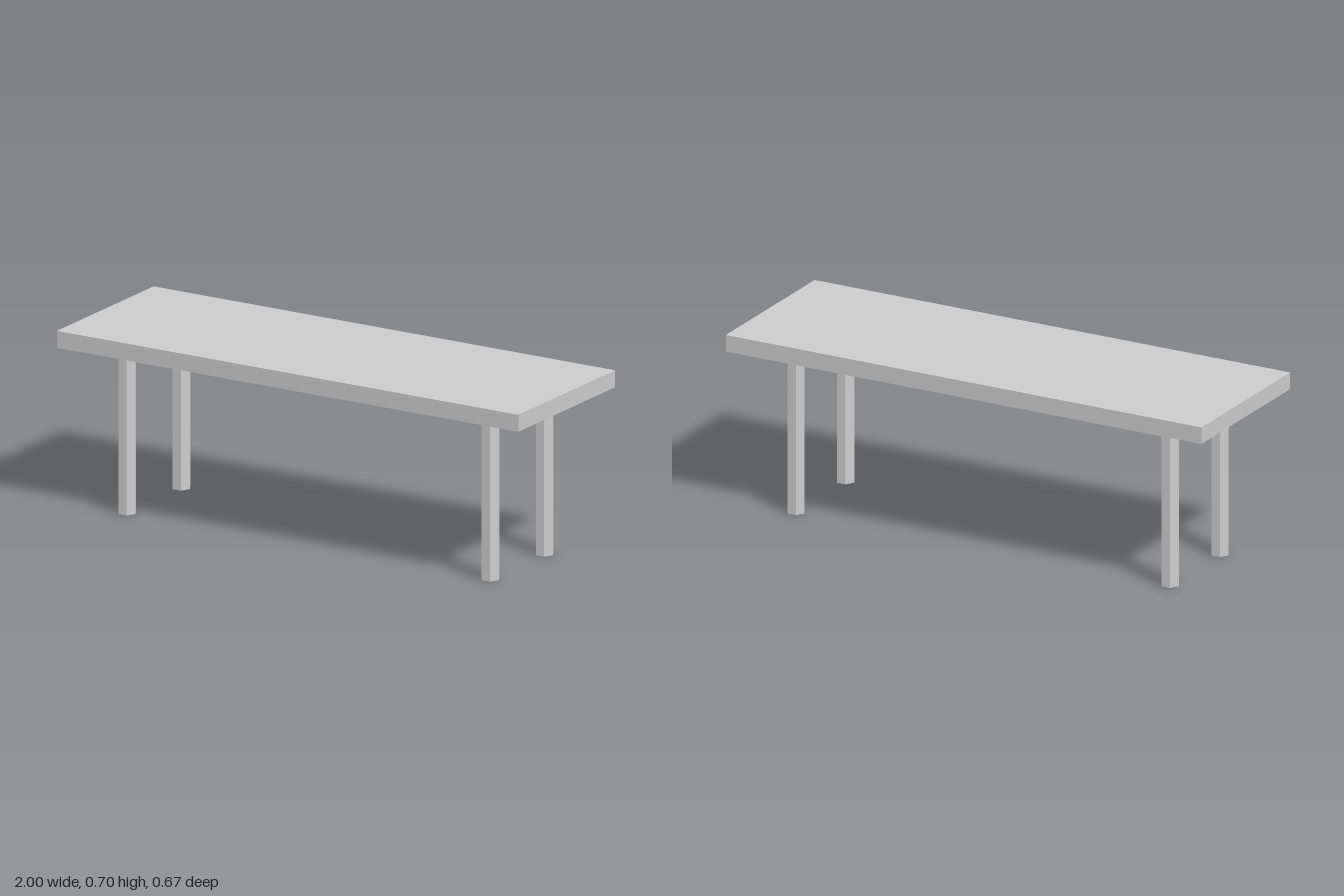
import * as THREE from 'three';

const TOP_Y = 0.7, THICK = 0.065;

export function createModel() {
  const group = new THREE.Group();
  group.name = 'table';
  const material = new THREE.MeshStandardMaterial({ color: 0xcccccc, flatShading: true });

  // Flat slab top
  const top = new THREE.Mesh(new THREE.BoxGeometry(2, THICK, 0.667), material);
  top.name = 'tableTop';
  top.position.y = TOP_Y - THICK / 2;
  group.add(top);

  // Six-sided legs, corners pointing along x
  const legHeight = TOP_Y - THICK;
  const legGeometry = new THREE.CylinderGeometry(1, 1, legHeight, 6);
  legGeometry.rotateY(Math.PI / 2);
  legGeometry.scale(0.036, 1, 0.033 / Math.sin(Math.PI / 3));
  for (const [z, end] of [[0.187, 'front'], [-0.187, 'back']]) {
    for (const [x, side] of [[0.787, 'Left'], [-0.787, 'Right']]) {
      const leg = new THREE.Mesh(legGeometry, material);
      leg.name = `${end}${side}Leg`;
      leg.position.set(x, legHeight / 2, z);
      group.add(leg);
    }
  }
  return group;
}
